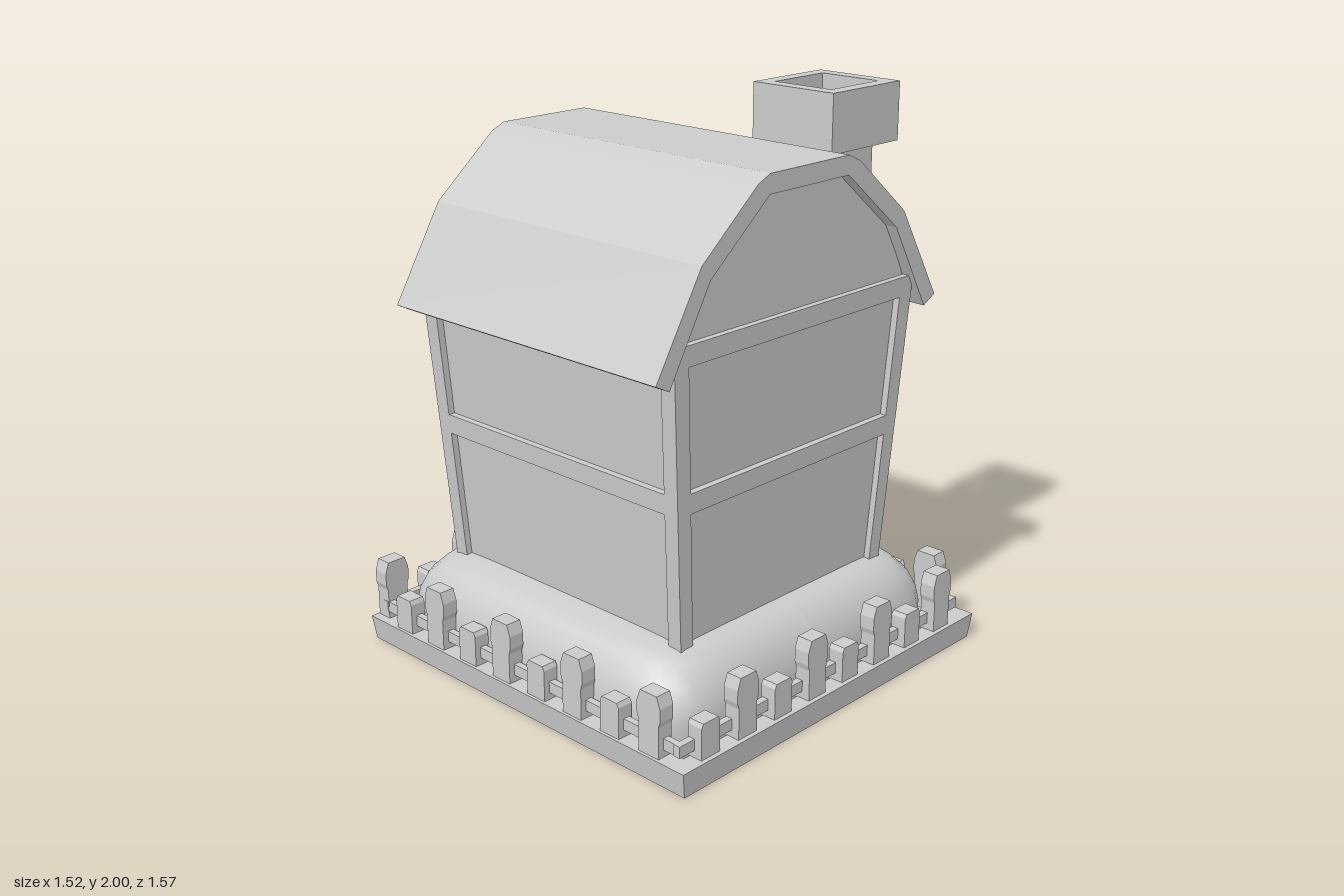
import * as THREE from 'three';

const mat = new THREE.MeshStandardMaterial({ color: 0xcccccc });
const matDouble = new THREE.MeshStandardMaterial({ color: 0xcccccc, side: THREE.DoubleSide });

const polygon = (pts) => new THREE.Shape(pts.map(([x, y]) => new THREE.Vector2(x, y)));
const mirrored = (pts) => [...pts, ...pts.map(([x, y]) => [-x, y]).reverse()];
const extrude = (shape, depth) => new THREE.ExtrudeGeometry(shape, { depth, bevelEnabled: false, curveSegments: 8 });

function add(parent, name, geometry, material = mat) {
  const mesh = new THREE.Mesh(geometry, material);
  mesh.name = name;
  parent.add(mesh);
  return mesh;
}

function group(parent, name, x = 0, y = 0, z = 0) {
  const g = new THREE.Group();
  g.name = name;
  g.position.set(x, y, z);
  parent.add(g);
  return g;
}

// Box given by its limits on each axis
function box(x0, x1, y0, y1, z0, z1) {
  return new THREE.BoxGeometry(x1 - x0, y1 - y0, z1 - z0)
    .translate((x0 + x1) / 2, (y0 + y1) / 2, (z0 + z1) / 2);
}

// Upright rectangular tube with half sizes hx, hz and wall thickness t
function ring(hx, hz, t, y0, y1) {
  const rect = (a, b) => [[-a, -b], [a, -b], [a, b], [-a, b]];
  const shape = polygon(rect(hx, hz));
  shape.holes.push(polygon(rect(hx - t, hz - t)));
  return extrude(shape, y1 - y0).rotateX(-Math.PI / 2).translate(0, y0, 0);
}

// Move each vertex by a rule
function deform(geo, rule) {
  const p = geo.attributes.position;
  const v = new THREE.Vector3();
  for (let i = 0; i < p.count; i++) {
    rule(v.fromBufferAttribute(p, i));
    p.setXYZ(i, v.x, v.y, v.z);
  }
  geo.computeVertexNormals();
  return geo;
}

// House walls flare outward towards the eaves
const flare = (geo) => deform(geo, (v) => {
  const h = v.y - 0.33;
  v.x *= 1 + 0.143 * h;
  v.z *= 1 + 0.072 * h;
});

function archShape(w, h, rise) {
  const s = new THREE.Shape();
  s.moveTo(-w / 2, 0);
  s.lineTo(w / 2, 0);
  s.lineTo(w / 2, h - rise);
  s.quadraticCurveTo(w / 4, h, 0, h);
  s.quadraticCurveTo(-w / 4, h, -w / 2, h - rise);
  return s;
}

// Arched window parts facing -z, standing on (x, y) with the wall at z
function windowParts(x, y, z, w, h) {
  const frame = archShape(w, h, 0.09);
  const hole = archShape(w - 0.06, h - 0.06, 0.075);
  frame.holes.push(new THREE.Path(hole.getPoints(8).map((p) => p.add(new THREE.Vector2(0, 0.03)))));
  return [
    ['windowFrame', extrude(frame, 0.034).translate(x, y, z - 0.024)],
    ['windowMullion', box(x - 0.009, x + 0.009, y + 0.01, y + h - 0.02, z - 0.014, z + 0.01)],
    ['windowTransom', box(x - w / 2 + 0.02, x + w / 2 - 0.02, y + h * 0.56, y + h * 0.56 + 0.018, z - 0.014, z + 0.01)],
    ['windowSill', box(x - w / 2 - 0.025, x + w / 2 + 0.025, y - 0.022, y + 0.008, z - 0.045, z + 0.01)],
  ];
}

function buildBase(root) {
  // Plinth frame, open at the back where the stairs pass
  const plinth = polygon([
    [-0.2, 0.77], [-0.2, 0.69], [-0.69, 0.69], [-0.69, -0.715], [0.69, -0.715], [0.69, 0.69],
    [0.18, 0.69], [0.18, 0.77], [0.757, 0.77], [0.757, -0.78], [-0.76, -0.78], [-0.76, 0.77],
  ]);
  add(root, 'plinth', deform(extrude(plinth, 0.09).rotateX(-Math.PI / 2), (v) => {
    if (v.y < 0.01) { v.x *= 0.982; v.z *= 0.99; }
  }));

  // Rounded earth mound: a lathe pushed out to a soft square, notched for the stairs
  const profile = [[0.685, 0.06], [0.69, 0.14], [0.68, 0.2], [0.655, 0.26], [0.615, 0.305], [0.57, 0.33], [0.49, 0.34]]
    .map(([r, y]) => new THREE.Vector2(r, y));
  add(root, 'mound', deform(new THREE.LatheGeometry(profile, 96), (v) => {
    const r = Math.hypot(v.x, v.z), c = Math.abs(v.x / r), s = Math.abs(v.z / r);
    const k = (c ** 8 + s ** 8) ** (-1 / 8);
    v.x = v.x * k - 0.005;
    v.z = v.z * k * 1.02 - 0.012;
    if (v.z < -0.54 && Math.abs(v.x + 0.01) < 0.2) v.z = -0.54;
  }), matDouble);

  // Stairs and curved side boards
  const stairs = group(root, 'stairs', -0.01, 0, 0);
  for (let i = 0; i < 4; i++) {
    const top = 0.08 + i * 0.083, z = -0.75 + i * 0.05;
    add(stairs, 'step', box(-0.2, 0.2, top - 0.08, top, z, z + 0.075));
  }
  const board = polygon([
    [0.54, 0.41], [0.57, 0.4], [0.62, 0.36], [0.665, 0.33], [0.69, 0.27], [0.71, 0.19],
    [0.74, 0.12], [0.785, 0.09], [0.785, 0.01], [0.72, 0.01], [0.54, 0.2],
  ]);
  for (const x of [-0.21, 0.21]) {
    add(stairs, 'stairBoard', extrude(board, 0.05).rotateY(Math.PI / 2).translate(x - 0.025, 0, 0));
  }
}

function buildFence(root) {
  const tall = polygon(mirrored([[0.043, 0.085], [0.043, 0.2], [0.05, 0.22], [0.05, 0.265], [0.036, 0.305]]));
  const short = polygon(mirrored([[0.042, 0.085], [0.042, 0.2], [0.034, 0.215]]));
  const fence = group(root, 'fence');
  const post = (x, z, isTall, turned) => {
    const geo = extrude(isTall ? tall : short, 0.058).translate(0, 0, -0.029);
    if (turned) geo.rotateY(Math.PI / 2);
    add(fence, isTall ? 'tallPost' : 'shortPost', geo.translate(x, 0, z));
  };
  for (let i = 0; i < 8; i++) {
    post(-0.62 + i * 0.172, 0.735, i % 2 === 1, false);
    for (const x of [-0.72, 0.705]) post(x, -0.59 + i * 0.173, i % 2 === 1, true);
  }
  [-0.685, -0.51, -0.335, 0.32, 0.495, 0.67].forEach((x, i) => post(x, -0.735, i % 3 !== 1, false));

  // Rails
  add(fence, 'frontRail', box(-0.73, 0.715, 0.115, 0.155, 0.71, 0.735));
  add(fence, 'backRail', box(-0.73, -0.24, 0.115, 0.155, -0.735, -0.71));
  add(fence, 'backRail', box(0.22, 0.715, 0.115, 0.155, -0.735, -0.71));
  for (const x of [-0.715, 0.7]) add(fence, 'sideRail', box(x - 0.012, x + 0.012, 0.115, 0.155, -0.735, 0.735));
}

function buildHouse(root) {
  const house = group(root, 'house', -0.01, 0, -0.012);
  const part = (name, geo) => add(house, name, flare(geo));

  // Hollow walls with a timber frame standing proud of the panels
  part('wallPanels', ring(0.487, 0.53, 0.02, 0.3, 1.34));
  part('middleBeam', ring(0.51, 0.553, 0.04, 0.8, 0.87));
  part('topBeam', ring(0.51, 0.553, 0.04, 1.29, 1.36));
  for (const sx of [-1, 1]) for (const sz of [-1, 1]) {
    const x = sx * 0.4825, z = sz * 0.5255;
    part('cornerPost', box(x - 0.0275, x + 0.0275, 0.3, 1.34, z - 0.0275, z + 0.0275));
  }

  // Back door
  part('door', box(-0.17, 0.17, 0.32, 0.79, -0.538, -0.51));
  for (const s of [-1, 1]) {
    const x = s * 0.2;
    part('doorJamb', box(x - 0.03, x + 0.03, 0.32, 0.81, -0.565, -0.51));
  }
  add(house, 'doorKnob', new THREE.SphereGeometry(0.022, 12, 8).translate(0.13, 0.58, -0.57));

  // Windows beside the door, one storey up
  for (const x of [-0.275, 0.285]) {
    const win = group(house, 'window');
    for (const [name, geo] of windowParts(x, 0.945, -0.53, 0.24, 0.31)) add(win, name, flare(geo));
  }

  // Gable block closing the space under the roof
  const gable = polygon(mirrored([[0.57, 1.33], [0.46, 1.55], [0.195, 1.775]]));
  add(house, 'gable', extrude(gable, 1.142).translate(0, 0, -0.571));

  // Shuttered attic window
  const attic = group(house, 'atticWindow');
  for (const [name, geo] of windowParts(0, 1.425, -0.571, 0.24, 0.28)) add(attic, name, geo);
  for (const s of [-1, 1]) {
    const shutter = group(attic, 'shutter', s * 0.185, 1.44, -0.578);
    shutter.rotation.z = -s * 0.08;
    for (const x of [-0.043, 0.043]) {
      const top = x * s > 0 ? 0.17 : 0.21;
      add(shutter, 'shutterStile', box(x - 0.009, x + 0.009, 0, top, -0.016, 0.012));
    }
    for (let i = 0; i < 5; i++) {
      add(shutter, 'shutterSlat', box(-0.045, 0.045, i * 0.038, i * 0.038 + 0.022, -0.012, 0.012));
    }
    add(shutter, 'shutterBack', box(-0.045, 0.045, 0, 0.17, -0.003, 0.012));
  }
}

function buildRoof(root) {
  const roof = group(root, 'roof', -0.01, 0, 0);
  const outer = mirrored([[0.684, 1.275], [0.49, 1.6], [0.245, 1.805], [0.19, 1.83]]);
  const inner = mirrored([[0.626, 1.245], [0.451, 1.55], [0.19, 1.765]]);
  add(roof, 'roofShell', extrude(polygon([...outer, ...inner.reverse()]), 1.215).translate(0, 0, -0.612));

  // Chimney
  const chimney = group(root, 'chimney', 0.425, 0, 0.305);
  add(chimney, 'chimneyShaft', box(-0.12, 0.12, 1.42, 1.82, -0.107, 0.107));
  add(chimney, 'chimneyCap', ring(0.175, 0.17, 0.052, 1.8, 2));
}

export function createModel() {
  const root = new THREE.Group();
  root.name = 'barnHouse';
  buildBase(root);
  buildFence(root);
  buildHouse(root);
  buildRoof(root);
  return root;
}
